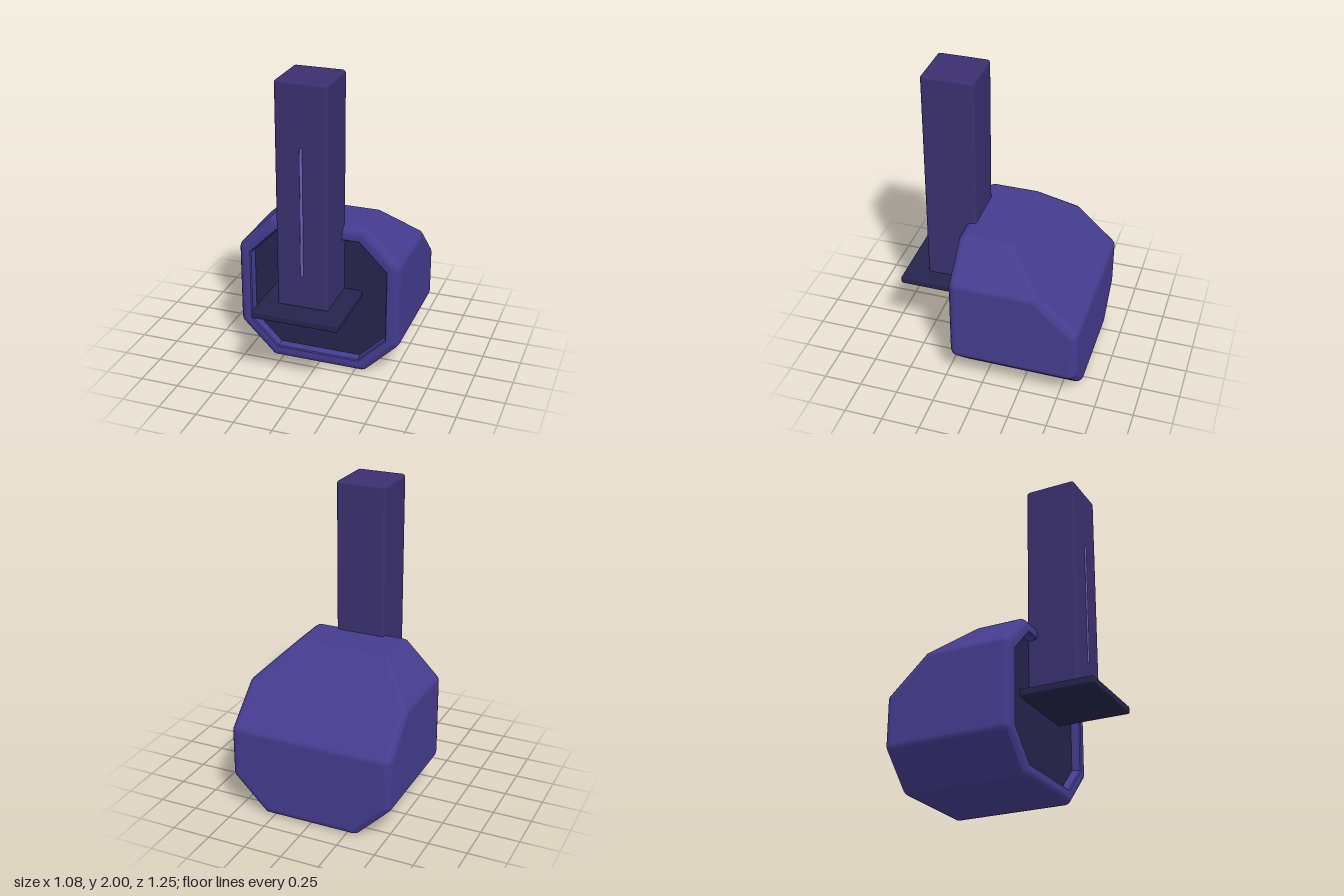
import * as THREE from 'three';
import { ConvexGeometry } from 'three/addons/geometries/ConvexGeometry.js';
import { RoundedBoxGeometry } from 'three/addons/geometries/RoundedBoxGeometry.js';

const FRONT = 0.21, BACK = -0.625, R = 0.05;
const SLOPE = new THREE.Vector3(0, 0.737, -0.677).normalize(); // sloped rear face
const SLOPE_D = 0.8358;

function material(name, color) {
  const m = new THREE.MeshStandardMaterial({ color });
  m.name = name;
  return m;
}

// Octagonal outline of the shell moved inward, counter-clockwise from the front
function octagon(inset) {
  const k = inset * 0.414;
  const w = 0.54 - inset, c = 0.31 - k, b = inset, t = 1.01 - inset, lo = 0.23 + k, hi = 0.78 - k;
  return [[c, b], [w, lo], [w, hi], [c, t], [-c, t], [-w, hi], [-w, lo], [-c, b]]
    .map(([x, y]) => new THREE.Vector2(x, y));
}

// Rounded convex shell: hull of spheres at the inset corners, left open at the front
function shellGeometry() {
  const d = SLOPE_D - R, zBack = BACK + R;
  const centres = [];
  for (const p of octagon(R)) {
    const zSlope = (SLOPE.y * p.y - d) / -SLOPE.z;
    centres.push(new THREE.Vector3(p.x, p.y, FRONT - R));
    centres.push(new THREE.Vector3(p.x, p.y, Math.max(zBack, zSlope)));
  }
  const yKnee = (d + SLOPE.z * zBack * -1) / SLOPE.y;
  for (const s of [-1, 1]) centres.push(new THREE.Vector3(s * (0.54 - R), yKnee, zBack));

  const ball = new THREE.SphereGeometry(R, 16, 8).getAttribute('position');
  const points = [];
  for (const c of centres) {
    for (let i = 0; i < ball.count; i++) points.push(new THREE.Vector3().fromBufferAttribute(ball, i).add(c));
    points.push(c.clone().addScaledVector(SLOPE, R));
  }
  const hull = new ConvexGeometry(points).getAttribute('position');

  const pos = [], nor = [];
  for (let i = 0; i < hull.count; i += 3) {
    const tri = [0, 1, 2].map(j => new THREE.Vector3().fromBufferAttribute(hull, i + j));
    if (tri.every(v => v.z > FRONT - 1e-4)) continue;
    for (const v of tri) {
      const c = centres.reduce((a, b) => (v.distanceToSquared(b) < v.distanceToSquared(a) ? b : a));
      pos.push(v.x, v.y, v.z);
      nor.push(...v.clone().sub(c).normalize().toArray());
    }
  }
  const g = new THREE.BufferGeometry();
  g.setAttribute('position', new THREE.Float32BufferAttribute(pos, 3));
  g.setAttribute('normal', new THREE.Float32BufferAttribute(nor, 3));
  return g;
}

// Faceted strip joining octagons given as [inset, z]
function rimGeometry(rings) {
  const pos = [];
  for (let r = 0; r < rings.length - 1; r++) {
    const [[ia, za], [ib, zb]] = [rings[r], rings[r + 1]];
    const a = octagon(ia), b = octagon(ib);
    for (let i = 0; i < 8; i++) {
      const j = (i + 1) % 8;
      pos.push(a[i].x, a[i].y, za, a[j].x, a[j].y, za, b[j].x, b[j].y, zb);
      pos.push(a[i].x, a[i].y, za, b[j].x, b[j].y, zb, b[i].x, b[i].y, zb);
    }
  }
  const g = new THREE.BufferGeometry();
  g.setAttribute('position', new THREE.Float32BufferAttribute(pos, 3));
  g.computeVertexNormals();
  return g;
}

export function createModel() {
  const group = new THREE.Group();
  const purple = material('shell purple', 0x453c8f);
  const plum = material('column plum', 0x3b3070);
  const navy = material('panel navy', 0x26244c);
  const violet = material('light strip violet', 0x6f60b8);

  const add = (name, geometry, mat, x = 0, y = 0, z = 0) => {
    const mesh = new THREE.Mesh(geometry, mat);
    mesh.name = name;
    mesh.position.set(x, y, z);
    group.add(mesh);
  };
  // Rounded box from its minimum and maximum corners
  const box = (name, a, b, radius, mat) => add(name,
    new RoundedBoxGeometry(b[0] - a[0], b[1] - a[1], b[2] - a[2], 3, radius), mat,
    (a[0] + b[0]) / 2, (a[1] + b[1]) / 2, (a[2] + b[2]) / 2);

  // Housing with its rim and recessed face
  add('housing', shellGeometry(), purple);
  add('rim', rimGeometry([[R, FRONT], [0.08, FRONT], [0.087, 0.203], [0.093, 0.15]]), purple);
  add('recessedPanel', new THREE.ShapeGeometry(new THREE.Shape(octagon(0.09))), navy, 0, 0, 0.15);

  // Column standing on a tray, with a raised strip down its front
  box('column', [-0.165, 0.55, 0.14], [0.165, 2, 0.475], 0.02, plum);
  box('tray', [-0.28, 0.51, 0.12], [0.28, 0.562, 0.625], 0.014, navy);
  add('lightStrip', new THREE.CapsuleGeometry(0.009, 0.81, 4, 12), violet, 0, 1.187, 0.474);

  return group;
}
